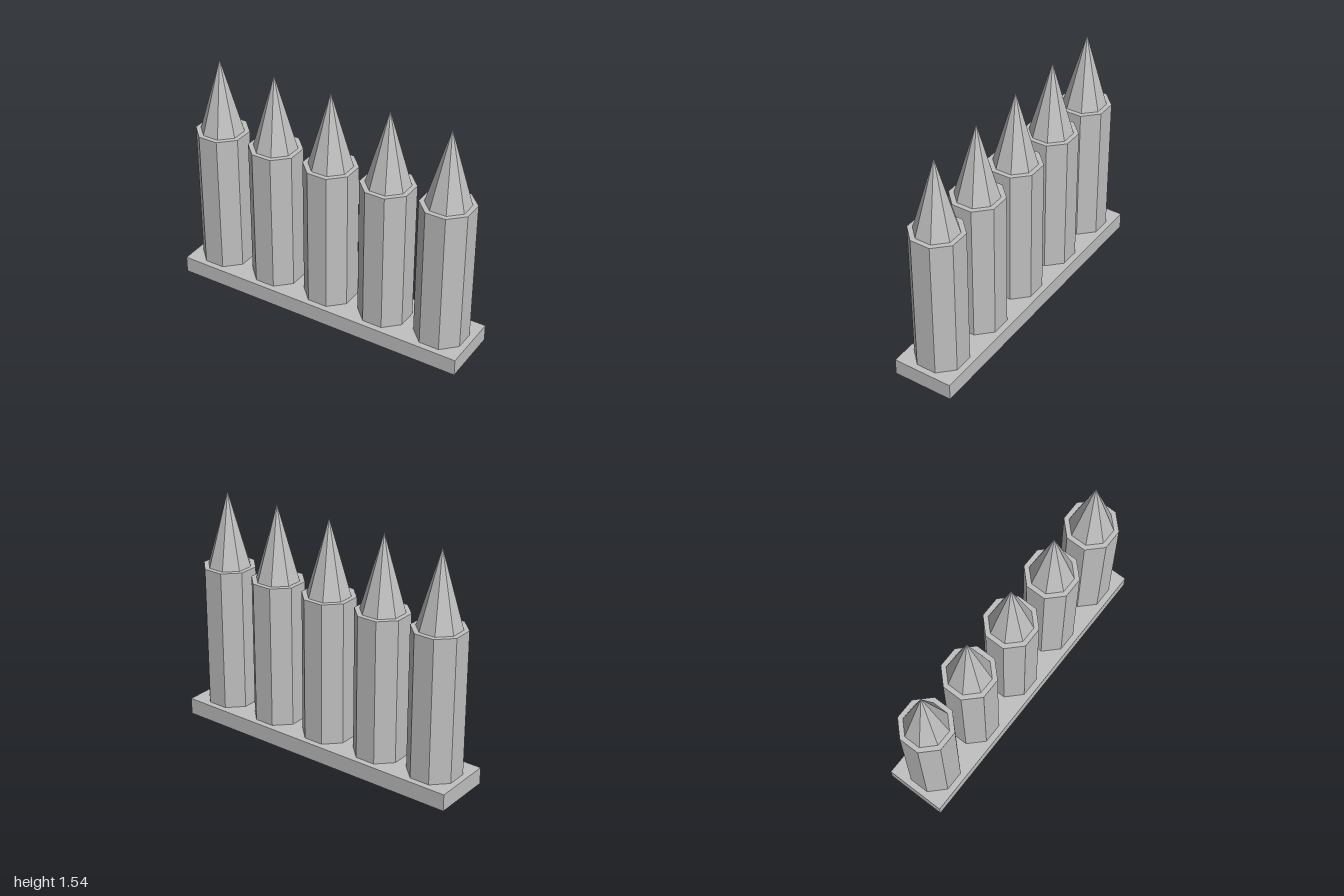
import * as THREE from 'three';

const SIDES = 8;
const BASE_TOP = 0.11, POST_TOP = 1.05, TIP = 1.54;
// radius to the corners of an octagon with the given half-width across flats
const corner = (apothem) => apothem / Math.cos(Math.PI / SIDES);

export function createModel() {
  const model = new THREE.Group();
  model.name = 'picketFence';
  const grey = new THREE.MeshStandardMaterial({ color: 0xc0c0c0, flatShading: true });
  grey.name = 'light grey';

  const add = (parent, name, geometry, y) => {
    const mesh = new THREE.Mesh(geometry, grey);
    mesh.name = name;
    mesh.position.y = y;
    parent.add(mesh);
  };

  // Base plinth
  add(model, 'base', new THREE.BoxGeometry(2, BASE_TOP, 0.4), BASE_TOP / 2);

  // Octagonal posts with pointed tips, flat sides facing front
  const postHeight = POST_TOP - BASE_TOP, tipHeight = TIP - POST_TOP;
  const postGeometry = new THREE.CylinderGeometry(corner(0.16), corner(0.16), postHeight, SIDES)
    .rotateY(Math.PI / SIDES);
  const tipGeometry = new THREE.ConeGeometry(corner(0.13), tipHeight, SIDES)
    .rotateY(Math.PI / SIDES);

  for (let i = -2; i <= 2; i++) {
    const stake = new THREE.Group();
    stake.name = `stake${i + 3}`;
    stake.position.x = i * 0.4;
    add(stake, 'post', postGeometry, BASE_TOP + postHeight / 2);
    add(stake, 'spike', tipGeometry, POST_TOP + tipHeight / 2);
    model.add(stake);
  }
  return model;
}
